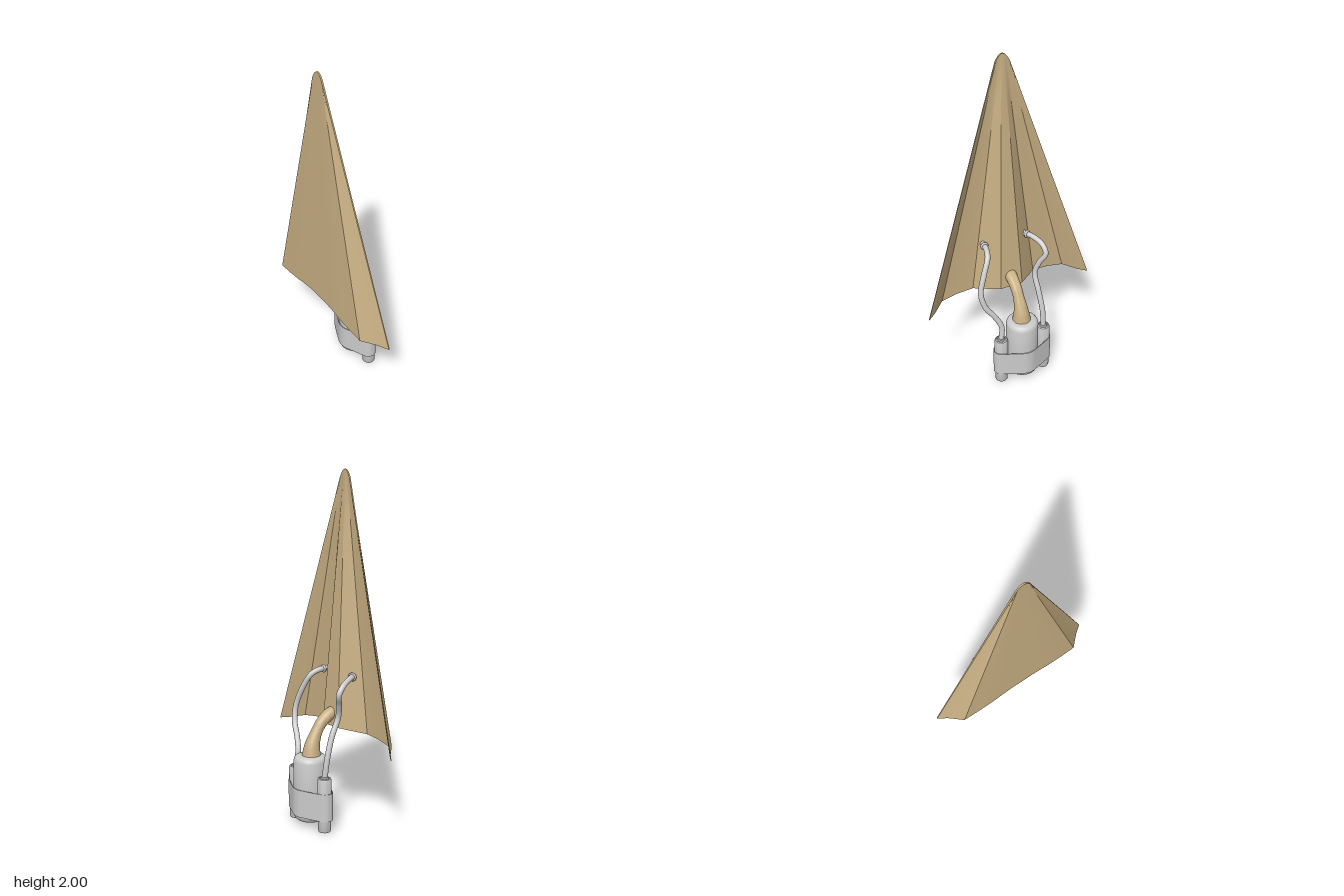
import * as THREE from 'three';
import { toCreasedNormals } from 'three/addons/utils/BufferGeometryUtils.js';

const grey = new THREE.MeshStandardMaterial({ color: 0xcccccc, side: THREE.DoubleSide });
const tan = new THREE.MeshStandardMaterial({ color: 0xc8af83, side: THREE.DoubleSide });
const CZ = -0.085; // depth of the tank assembly

function add(parent, name, geometry, material, x = 0, y = 0, z = 0) {
  const mesh = new THREE.Mesh(geometry, material);
  mesh.name = name;
  mesh.position.set(x, y, z);
  parent.add(mesh);
  return mesh;
}

const curve = (pts) => new THREE.CatmullRomCurve3(pts.map((p) => new THREE.Vector3(...p)));

function lathe(pts, segments = 40) {
  const g = new THREE.LatheGeometry(pts.map((p) => new THREE.Vector2(...p)), segments);
  return toCreasedNormals(g, 0.6);
}

// Folded wing: straight lines run from a small rounded apex to the bottom section
function wingGeometry() {
  // x, front y, front z, back y, back z of the lower edge
  const half = [
    [0, 0.575, 0.185, 0.565, 0.055],
    [0.07, 0.575, 0.185, 0.565, 0.055],
    [0.15, 0.565, 0.185, 0.55, 0.12],
    [0.2, 0.553, 0.185, 0.54, 0.165],
    [0.3, 0.535, 0.181, 0.532, 0.168],
    [0.4, 0.52, 0.175, 0.517, 0.162],
    [0.47, 0.503, 0.108, 0.5, 0.1],
    [0.525, 0.49, 0.067, 0.49, 0.062],
  ];
  const mirrored = half.slice(1).reverse().map(([x, ...r]) => [-x, ...r]);
  const section = [...mirrored, ...half];
  const n = section.length, N = 2 * n, rows = 10;
  const loop = [
    ...section.map((p) => [p[0], p[1], p[2], 0.159]),
    ...section.slice().reverse().map((p) => [p[0], p[3], p[4], 0.15]),
  ];
  const pos = [], idx = [];
  for (let j = 0; j <= rows; j++) {
    const t = j / rows;
    for (const [x, y, z, topZ] of loop) {
      const topY = 2 - 0.045 * (x / 0.525) ** 2;
      pos.push(x * (0.08 + 0.92 * t), topY + (y - topY) * t, topZ + (z - topZ) * t);
    }
  }
  for (let j = 0; j < rows; j++) {
    for (let i = 0; i < N; i++) {
      const a = j * N + i, b = j * N + (i + 1) % N;
      idx.push(a, a + N, b, b, a + N, b + N);
    }
  }
  // close the apex and the lower rim
  for (let i = 0; i < n - 1; i++) {
    const f = i, f2 = i + 1, b = N - 1 - i, b2 = N - 2 - i, o = rows * N;
    idx.push(f, f2, b, f2, b2, b);
    idx.push(o + f, o + b, o + f2, o + f2, o + b, o + b2);
  }
  const g = new THREE.BufferGeometry();
  g.setAttribute('position', new THREE.Float32BufferAttribute(pos, 3));
  g.setIndex(idx);
  return toCreasedNormals(g, 0.5);
}

// Tube whose radius changes along its length
function taperedTube(path, radiusAt, segments = 30, sides = 24) {
  const g = new THREE.TubeGeometry(path, segments, 1, sides);
  const p = g.attributes.position, v = new THREE.Vector3();
  for (let i = 0; i < p.count; i++) {
    const u = Math.floor(i / (sides + 1)) / segments;
    const c = path.getPointAt(u);
    v.fromBufferAttribute(p, i).sub(c).multiplyScalar(radiusAt(u)).add(c);
    p.setXYZ(i, v.x, v.y, v.z);
  }
  return toCreasedNormals(g, 0.8);
}

// Outline of a belt stretched round the large tank and both small ones
function beltPath(target, R, r, d) {
  const a = Math.acos((R - r) / d), P = Math.PI;
  target.absarc(d, 0, r, -a, a, false);
  target.absarc(0, 0, R, a, P - a, false);
  target.absarc(-d, 0, r, P - a, P + a, false);
  target.absarc(0, 0, R, P + a, 2 * P - a, false);
  target.closePath();
  return target;
}

export function createModel() {
  const model = new THREE.Group();
  model.name = 'wingWithTanks';
  add(model, 'wing', wingGeometry(), tan);

  // Curved neck, flared where it meets the tank
  const neckPath = curve([
    [0, 0.4, -0.078], [0, 0.46, -0.073], [0, 0.53, -0.048], [0, 0.59, -0.008], [0, 0.63, 0.045], [0, 0.645, 0.1],
  ]);
  const neckRadius = (u) => 0.03 + 0.027 * Math.max(0, 1 - u / 0.5) ** 1.3 + 0.008 * u * u;
  add(model, 'neck', taperedTube(neckPath, neckRadius), tan);

  // Central tank with rounded rims
  add(model, 'mainTank', lathe([
    [0, 0.036], [0.062, 0.036], [0.078, 0.04], [0.09, 0.051], [0.095, 0.068],
    [0.095, 0.385], [0.091, 0.401], [0.082, 0.411], [0.068, 0.415], [0, 0.415],
  ], 48), grey, 0, 0, CZ);

  // Small tanks with a recessed outlet and a stepped cap
  const sideTank = lathe([
    [0, 0.025], [0.018, 0.025], [0.022, 0.005], [0.033, 0.005], [0.037, 0.012],
    [0.037, 0.065], [0.039, 0.075], [0.039, 0.305], [0.036, 0.316], [0.03, 0.32],
    [0.028, 0.314], [0.022, 0.314], [0.021, 0.325], [0, 0.325],
  ], 28);
  for (const s of [-1, 1]) add(model, s > 0 ? 'leftTank' : 'rightTank', sideTank, grey, s * 0.14, 0, CZ - 0.003);

  // Strap holding the tanks together
  const belt = beltPath(new THREE.Shape(), 0.102, 0.045, 0.14);
  belt.holes.push(beltPath(new THREE.Path(), 0.098, 0.041, 0.14));
  const strap = new THREE.ExtrudeGeometry(belt, { depth: 0.16, bevelEnabled: false, curveSegments: 20 });
  strap.rotateX(-Math.PI / 2);
  add(model, 'strap', toCreasedNormals(strap, 0.6), grey, 0, 0.073, CZ);

  // Hoses from the small tanks to the back of the wing, each ending in a collar
  const hoses = {
    leftHose: [
      [0.14, 0.31, -0.088], [0.131, 0.4, -0.078], [0.165, 0.475, -0.06], [0.215, 0.55, -0.042],
      [0.233, 0.64, -0.022], [0.2, 0.75, 0.002], [0.16, 0.835, 0.035], [0.146, 0.86, 0.08], [0.143, 0.865, 0.14],
    ],
    rightHose: [
      [-0.14, 0.31, -0.088], [-0.142, 0.42, -0.072], [-0.134, 0.54, -0.035], [-0.132, 0.65, 0.012],
      [-0.155, 0.725, 0.0], [-0.183, 0.79, -0.022], [-0.178, 0.835, 0.01], [-0.15, 0.86, 0.075], [-0.115, 0.865, 0.135],
    ],
  };
  for (const [name, pts] of Object.entries(hoses)) {
    const path = curve(pts);
    add(model, name, new THREE.TubeGeometry(path, 70, 0.016, 14), grey);
    const collar = add(model, name + 'Collar', new THREE.TorusGeometry(0.018, 0.007, 8, 24), grey);
    collar.position.copy(path.getPointAt(0.96));
    collar.lookAt(path.getPointAt(1));
  }
  return model;
}
